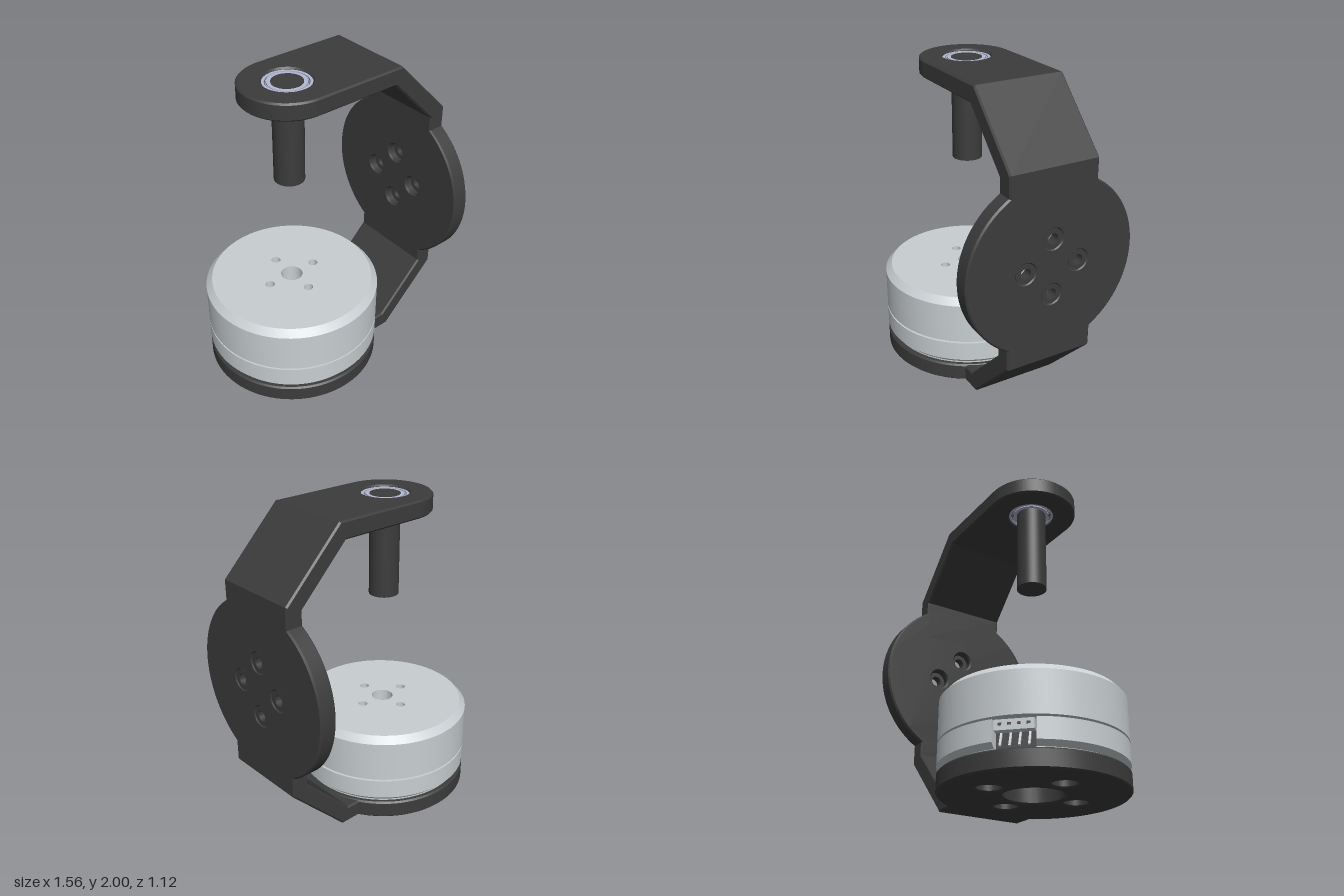
import * as THREE from 'three';
import { toCreasedNormals } from 'three/addons/utils/BufferGeometryUtils.js';

const AXIS_X = -0.22; // motor and bearing axis
const V = (x, y) => new THREE.Vector2(x, y);

export function createModel() {
  const model = new THREE.Group();
  const dark = new THREE.MeshStandardMaterial({ color: 0x3c3c3c });
  const metal = new THREE.MeshStandardMaterial({ color: 0xc8ced1 });
  const metalThin = new THREE.MeshStandardMaterial({ color: 0xc8ced1, side: THREE.DoubleSide });
  const steel = new THREE.MeshStandardMaterial({ color: 0xb4b8d2 });

  function add(parent, name, geometry, material, x = 0, y = 0, z = 0) {
    const mesh = new THREE.Mesh(geometry, material);
    mesh.name = name;
    mesh.position.set(x, y, z);
    parent.add(mesh);
    return mesh;
  }
  function group(name, parent, x = 0, y = 0, z = 0) {
    const g = new THREE.Group();
    g.name = name;
    g.position.set(x, y, z);
    parent.add(g);
    return g;
  }
  // plate of thickness d from z = 0, with a small chamfer b kept inside the outline
  function plate(shape, d, b = 0.01) {
    const g = new THREE.ExtrudeGeometry(shape, {
      depth: d - 2 * b, bevelEnabled: b > 0, bevelSize: b, bevelThickness: b,
      bevelOffset: -b, bevelSegments: 1, curveSegments: 48,
    });
    return toCreasedNormals(g.translate(0, 0, b), 0.5);
  }
  const flat = (g) => g.rotateX(-Math.PI / 2); // lay a plate down, thickness up
  function circle(x, y, r, Type = THREE.Shape) {
    const p = new Type();
    p.absarc(x, y, r, 0, Math.PI * 2, false);
    return p;
  }
  // four positions around a centre, on the axes
  const four = (r) => [[r, 0], [0, r], [-r, 0], [0, -r]];
  function punch(shape, cx, cy, spread, r) {
    for (const [x, y] of four(spread)) shape.holes.push(circle(cx + x, cy + y, r, THREE.Path));
    return shape;
  }
  // closed profile (counter-clockwise in radius, height) spun round y
  function spin(profile, start = 0, length = Math.PI * 2, segments = 96) {
    const pts = [...profile, profile[0]].map(([r, y]) => V(r, y));
    return toCreasedNormals(new THREE.LatheGeometry(pts, segments, start, length), 0.5);
  }
  const ring = (ri, ro, y0, y1, n = 48) =>
    spin([[ri, y0], [ro, y0], [ro, y1], [ri, y1]], 0, Math.PI * 2, n);

  // ---- bracket ----
  const bracket = group('bracket', model);

  // folded straps joining the side disc to the top arm and the base
  const strapShape = new THREE.Shape([
    V(0.2, 0.89), V(0.345, 0.89), V(0.665, 0.565), V(0.665, 0.3),
    V(0.775, 0.3), V(0.775, 0.61), V(0.39, 1), V(0.2, 1),
  ]);
  const strapGeometry = plate(strapShape, 0.58).translate(0, 0, -0.29);
  add(bracket, 'upperStrap', strapGeometry, dark, 0, 1, 0);
  add(bracket, 'lowerStrap', strapGeometry, dark, 0, 1, 0).rotation.x = Math.PI;

  // side disc with counterbored mounting holes
  const side = punch(circle(0, 1, 0.56), 0, 1, 0.176, 0.062);
  add(bracket, 'sideDisc', plate(side, 0.11).rotateY(Math.PI / 2), dark, 0.665);
  for (const [y, z] of four(0.176)) {
    const seat = ring(0.034, 0.064, 0.05, 0.105, 32).rotateZ(-Math.PI / 2);
    add(bracket, 'sideHoleSeat', seat, dark, 0.665, 1 + y, z);
  }

  // base disc with centre opening and counterbored screw holes
  const base = punch(circle(AXIS_X, 0, 0.56), AXIS_X, 0, 0.3, 0.075);
  base.holes.push(circle(AXIS_X, 0, 0.18, THREE.Path));
  add(bracket, 'baseDisc', flat(plate(base, 0.115)), dark);
  for (const [x, z] of four(0.3)) {
    add(bracket, 'baseHoleSeat', ring(0.04, 0.077, 0.05, 0.105, 32), dark, AXIS_X + x, 0, z);
  }

  // top arm with rounded end and bearing bore
  const arm = new THREE.Shape();
  arm.moveTo(0.33, -0.29);
  arm.lineTo(0.33, 0.29);
  arm.lineTo(AXIS_X, 0.29);
  arm.absarc(AXIS_X, 0, 0.29, Math.PI / 2, Math.PI * 1.5, false);
  arm.holes.push(circle(AXIS_X, 0, 0.146, THREE.Path));
  add(bracket, 'topArm', flat(plate(arm, 0.11)), dark, 0, 1.89);

  // ---- bearing and shaft ----
  const bearing = group('bearing', model, AXIS_X, 1.89, 0);
  add(bearing, 'outerRace', ring(0.13, 0.147, 0.012, 0.098), steel);
  add(bearing, 'bearingShield', ring(0.115, 0.132, 0.02, 0.09), dark);
  add(bearing, 'shieldRim', ring(0.12, 0.125, 0.016, 0.094), steel);
  add(bearing, 'innerRace', ring(0.094, 0.117, 0.012, 0.098), steel);
  add(model, 'shaft', new THREE.CylinderGeometry(0.095, 0.095, 0.645, 48), dark, AXIS_X, 1.6675, 0);

  // ---- motor ----
  const motor = group('motor', model, AXIS_X, 0, 0);

  // rotor bell with a drilled top plate
  add(motor, 'rotor', spin([
    [0.07, 0.293], [0.56, 0.293], [0.56, 0.552], [0.52, 0.595],
    [0.3, 0.595], [0.3, 0.5], [0.07, 0.5],
  ]), metal);
  const cap = punch(circle(0, 0, 0.301), 0, 0, 0.176, 0.03);
  cap.holes.push(circle(0, 0, 0.07, THREE.Path));
  add(motor, 'rotorCap', flat(plate(cap, 0.095, 0)), metal, 0, 0.5);
  add(motor, 'rotorHub', ring(0.07, 0.215, 0.27, 0.3), metal);

  // stator ring, left open where the connector sits
  const statorProfile = [
    [0.07, 0.16], [0.16, 0.16], [0.16, 0.115], [0.53, 0.115],
    [0.53, 0.125], [0.56, 0.155], [0.56, 0.28], [0.07, 0.28],
  ];
  const facing = Math.PI * 1.25;
  const half = 0.215;
  add(motor, 'stator', spin(statorProfile, facing + half, 2 * (Math.PI - half)), metal);
  const endShape = new THREE.Shape(statorProfile.map(([r, y]) => V(r, y)));
  for (const s of [-1, 1]) {
    const end = add(motor, 'notchWall', new THREE.ShapeGeometry(endShape), metalThin);
    end.rotation.y = facing + s * half - Math.PI / 2;
  }
  add(motor, 'notchCore', spin([
    [0.07, 0.16], [0.16, 0.16], [0.16, 0.115], [0.46, 0.115], [0.46, 0.28], [0.07, 0.28],
  ], facing - half, 2 * half, 12), metal);

  // connector: housing, dark socket and four sloping pins
  const connector = group('connector', motor);
  connector.rotation.y = facing;
  add(connector, 'housing', new THREE.BoxGeometry(0.22, 0.06, 0.09), metal, 0, 0.246, 0.5);
  add(connector, 'socket', new THREE.BoxGeometry(0.22, 0.1, 0.04), dark, 0, 0.166, 0.475);
  for (let i = 0; i < 4; i++) {
    const x = (i - 1.5) * 0.052;
    add(connector, 'contact', new THREE.BoxGeometry(0.02, 0.014, 0.006), dark, x, 0.25, 0.544);
    const pin = add(connector, 'pin', new THREE.BoxGeometry(0.012, 0.09, 0.012), metal, x, 0.172, 0.515);
    pin.rotation.x = -0.45;
  }
  return model;
}
